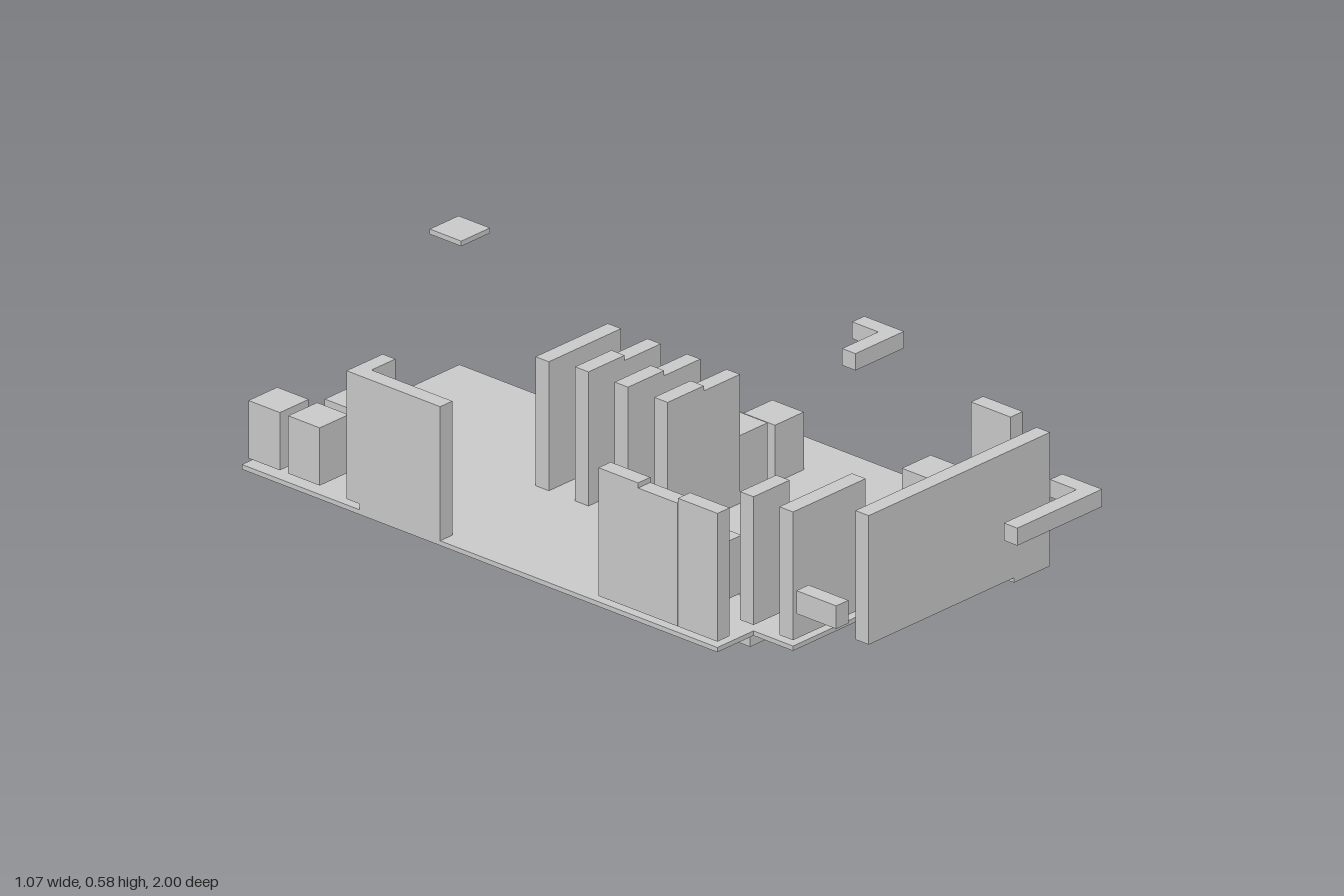
import * as THREE from 'three';

export function createModel() {
  const model = new THREE.Group();
  model.name = 'blockRoom';
  const grey = new THREE.MeshStandardMaterial({ color: 0xcccccc });
  grey.name = 'light grey';

  const FLOOR = 0.131, GAP = 0.147, LOW = 0.484, HIGH = 0.498;

  // Box given by its limits along each axis
  function block(name, x0, x1, y0, y1, z0, z1) {
    const mesh = new THREE.Mesh(new THREE.BoxGeometry(x1 - x0, y1 - y0, z1 - z0), grey);
    mesh.position.set((x0 + x1) / 2, (y0 + y1) / 2, (z0 + z1) / 2);
    mesh.name = name;
    model.add(mesh);
  }

  // Slab cut from an x,z outline, with optional holes
  function slab(name, points, y0, y1, holes = []) {
    const toVectors = (list) => list.map(([x, z]) => new THREE.Vector2(x, -z));
    const shape = new THREE.Shape(toVectors(points));
    holes.forEach((h) => shape.holes.push(new THREE.Path(toVectors(h))));
    const geometry = new THREE.ExtrudeGeometry(shape, { depth: y1 - y0, bevelEnabled: false });
    geometry.rotateX(-Math.PI / 2);
    geometry.translate(0, y0, 0);
    const mesh = new THREE.Mesh(geometry, grey);
    mesh.name = name;
    model.add(mesh);
  }

  // Floor with notched corners, a front tab and a square opening
  slab('floor', [
    [-0.533, -1], [0.267, -1], [0.267, -0.467], [0.533, -0.467], [0.533, 0.733],
    [0.4, 0.733], [0.4, 0.866], [0.267, 0.866], [0.267, 0.733], [-0.4, 0.733],
    [-0.4, 0.6], [-0.533, 0.6],
  ], 0.118, FLOOR, [[[-0.267, 0.333], [-0.133, 0.333], [-0.133, 0.467], [-0.267, 0.467]]]);

  // Panel hanging through the opening
  block('hangingPanel', -0.267, -0.133, 0, 0.24, 0.422, 0.467);

  // Front walls and post
  block('frontWall', -0.267, 0.4, FLOOR, LOW, 0.821, 0.866);
  block('frontPost', 0.4, 0.445, FLOOR, LOW, 0.6, 0.733);
  block('innerFrontWall', -0.4, -0.133, GAP, HIGH, 0.687, 0.733);
  block('shortFrontWall', -0.4, -0.267, GAP, HIGH, 0.555, 0.6);

  // Side wall with a lower middle section
  [[0.2, HIGH], [0.333, LOW], [0.467, HIGH]].forEach(([z, top]) =>
    block('sideWall', -0.533, -0.488, GAP, top, z, z + 0.1333));

  // Rear corner wall
  block('rearSideWall', -0.533, -0.488, FLOOR, HIGH, -0.605, -0.333);
  block('rearCornerWall', -0.533, -0.4, GAP, HIGH, -0.648, -0.605);

  // Row of partitions, the rear one level across the top
  for (let i = 0; i < 4; i++) {
    const z = -0.378 + i * 0.1333;
    block('partition', -0.133, 0, FLOOR, i === 0 ? LOW : HIGH, z, z + 0.045);
    block('partition', 0, 0.133, FLOOR, LOW, z, z + 0.045);
  }

  // Crates: x centre, z centre, base height
  const crates = [
    [-0.467, -0.937, GAP], [-0.467, -0.803, GAP], [-0.333, -0.803, GAP],
    [-0.333, -0.67, GAP], [0.2, -0.137, GAP], [0.2, -0.003, GAP],
    [0.333, -0.003, FLOOR], [-0.333, 0.397, GAP], [-0.2, 0.53, GAP], [0.333, 0.53, GAP],
  ];
  crates.forEach(([x, z, y]) =>
    block('crate', x - 0.053, x + 0.053, y, y + 0.158, z - 0.053, z + 0.053));

  // Floating ledges and tile
  slab('frontLedge', [
    [0.133, 0.955], [0.4, 0.955], [0.4, 0.866], [0.445, 0.866], [0.445, 1], [0.133, 1],
  ], 0.307, 0.355);
  block('sideLedge', -0.533, -0.488, 0.307, 0.37, 0.866, 1);
  slab('upperLedge', [
    [0.267, 0.288], [0.4, 0.288], [0.4, 0.2], [0.445, 0.2], [0.445, 0.333], [0.267, 0.333],
  ], 0.532, 0.578);
  block('upperTile', 0.147, 0.253, 0.532, 0.546, -0.99, -0.884);

  return model;
}
